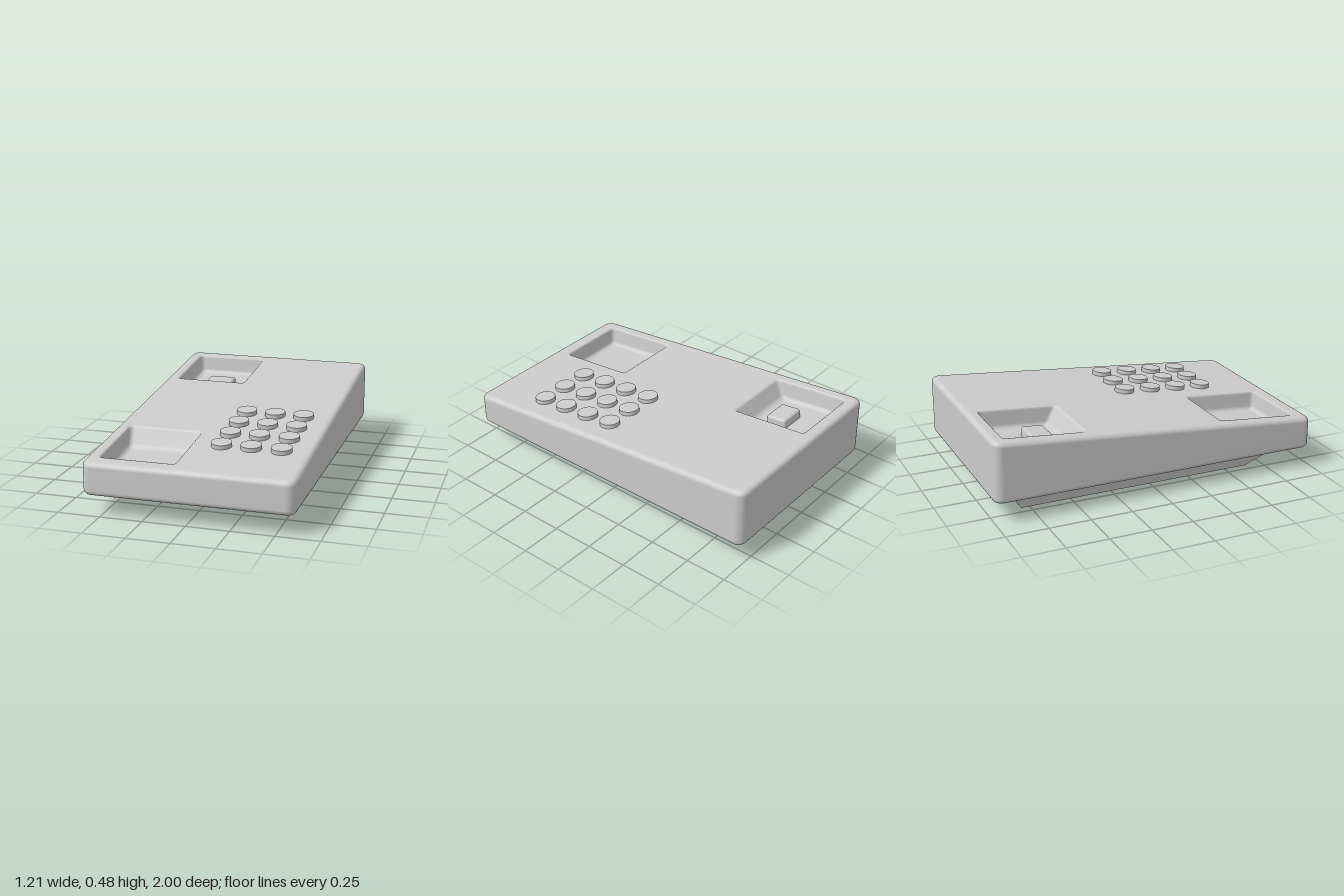
import * as THREE from 'three';
import { RoundedBoxGeometry } from 'three/addons/geometries/RoundedBoxGeometry.js';

const SLOPE = 0.087;
const TILT = Math.atan(SLOPE);
const topY = (z) => 0.395 - SLOPE * z; // sloping upper face
const material = new THREE.MeshStandardMaterial({ color: 0xcccccc });

// Rounded rectangle in the ground plane, counter-clockwise from above.
function ring(x0, x1, z0, z1, r, height, n = 6) {
  const corners = [[x1 - r, z0 + r], [x0 + r, z0 + r], [x0 + r, z1 - r], [x1 - r, z1 - r]];
  const points = [];
  corners.forEach(([cx, cz], q) => {
    for (let i = 0; i <= n; i++) {
      const a = (q + i / n) * Math.PI / 2;
      const x = cx + r * Math.cos(a), z = cz - r * Math.sin(a);
      points.push(new THREE.Vector3(x, height(z), z));
    }
  });
  return points;
}

// Skin between successive rings.
function loft(rings, flat = false) {
  const n = rings[0].length, index = [];
  for (let i = 0; i < rings.length - 1; i++) {
    for (let j = 0; j < n; j++) {
      const k = (j + 1) % n, a = i * n, b = a + n;
      index.push(a + j, a + k, b + k, a + j, b + k, b + j);
    }
  }
  let geo = new THREE.BufferGeometry().setFromPoints(rings.flat());
  geo.setIndex(index);
  if (flat) geo = geo.toNonIndexed();
  geo.computeVertexNormals();
  return geo;
}

// Flat face filling a ring, with optional holes.
function cap(outline, height, holes = [], down = false) {
  const flat = (pts) => pts.map((p) => new THREE.Vector2(p.x, -p.z));
  const shape = new THREE.Shape(flat(outline));
  shape.holes = holes.map((h) => new THREE.Path(flat(h)));
  const geo = new THREE.ShapeGeometry(shape);
  const p = geo.attributes.position;
  for (let i = 0; i < p.count; i++) {
    const z = -p.getY(i);
    p.setXYZ(i, p.getX(i), height(z), z);
  }
  if (down) geo.setIndex(Array.from(geo.index.array).reverse());
  geo.computeVertexNormals();
  return geo;
}

function add(parent, name, geometry) {
  const mesh = new THREE.Mesh(geometry, material);
  mesh.name = name;
  parent.add(mesh);
  return mesh;
}

// Cradle recess: rounded lip, steep walls, one sloped inner wall, rounded floor edge.
function recessRings(z0, z1, innerAtBack) {
  const levels = [[0, -0.012], [0.002, -0.005], [0.006, -0.001], [0.014, 0.001],
    [0.09, 0.008], [0.102, 0.012], [0.111, 0.021], [0.115, 0.034]];
  return levels.map(([depth, inset]) => {
    const inner = inset + depth * 0.42;
    return ring(-0.53 + inset, -0.09 - inset,
      z0 + (innerAtBack ? inner : inset), z1 - (innerAtBack ? inset : inner),
      0.025, (z) => topY(z) - depth);
  });
}

export function createModel() {
  const model = new THREE.Group();

  // Wedge body with filleted edges
  const body = new THREE.Group();
  body.name = 'body';
  model.add(body);
  const R = 0.03, bottom = 0.115, steps = 5;
  const outer = (inset, height) =>
    ring(-0.607 + inset, 0.607 - inset, -1 + inset, 1 - inset, 0.055 - inset, height);
  const rings = [];
  for (let i = 0; i <= steps; i++) {
    const a = i / steps * Math.PI / 2;
    rings.push(outer(R * (1 - Math.sin(a)), () => bottom + R * (1 - Math.cos(a))));
  }
  for (let i = 0; i <= steps; i++) {
    const a = i / steps * Math.PI / 2;
    rings.push(outer(R * (1 - Math.cos(a)), (z) => topY(z) - R * (1 - Math.sin(a))));
  }
  add(body, 'bodySides', loft(rings));
  add(body, 'bodyUnderside', cap(rings[0], () => bottom, [], true));

  // Two cradle recesses sunk into the top
  const recesses = { backRecess: recessRings(-0.92, -0.44, false), frontRecess: recessRings(0.42, 0.9, true) };
  add(body, 'topFace', cap(rings.at(-1), topY, Object.values(recesses).map((r) => r[0])));
  for (const [name, levels] of Object.entries(recesses)) {
    add(body, name + 'Walls', loft(levels));
    add(body, name + 'Floor', cap(levels.at(-1), (z) => topY(z) - 0.115));
  }

  // Hook switch inside the back recess
  const hook = add(model, 'hookSwitch', new RoundedBoxGeometry(0.17, 0.09, 0.13, 3, 0.014));
  hook.position.set(-0.305, topY(-0.645) - 0.105, -0.645);
  hook.rotation.x = TILT;

  // Keypad of three by four round keys
  const keypad = new THREE.Group();
  keypad.name = 'keypad';
  model.add(keypad);
  const keyGeometry = new THREE.CylinderGeometry(0.06, 0.06, 0.05, 32);
  for (let row = 0; row < 4; row++) {
    for (let col = 0; col < 3; col++) {
      const z = 0.08 + row * 0.174;
      const key = add(keypad, 'key', keyGeometry);
      key.position.set(0.084 + col * 0.174, topY(z), z);
      key.rotation.x = TILT;
    }
  }

  // Tapered foot under the body
  const foot = (x, z0, z1, y) => [[x, z0], [-x, z0], [-x, z1], [x, z1]]
    .map(([px, pz]) => new THREE.Vector3(px, y, pz));
  const low = foot(0.45, -0.8, 0.645, 0), high = foot(0.49, -0.877, 0.866, 0.116);
  add(model, 'footSides', loft([low, high], true));
  add(model, 'footUnderside', cap(low, () => 0, [], true));

  return model;
}
